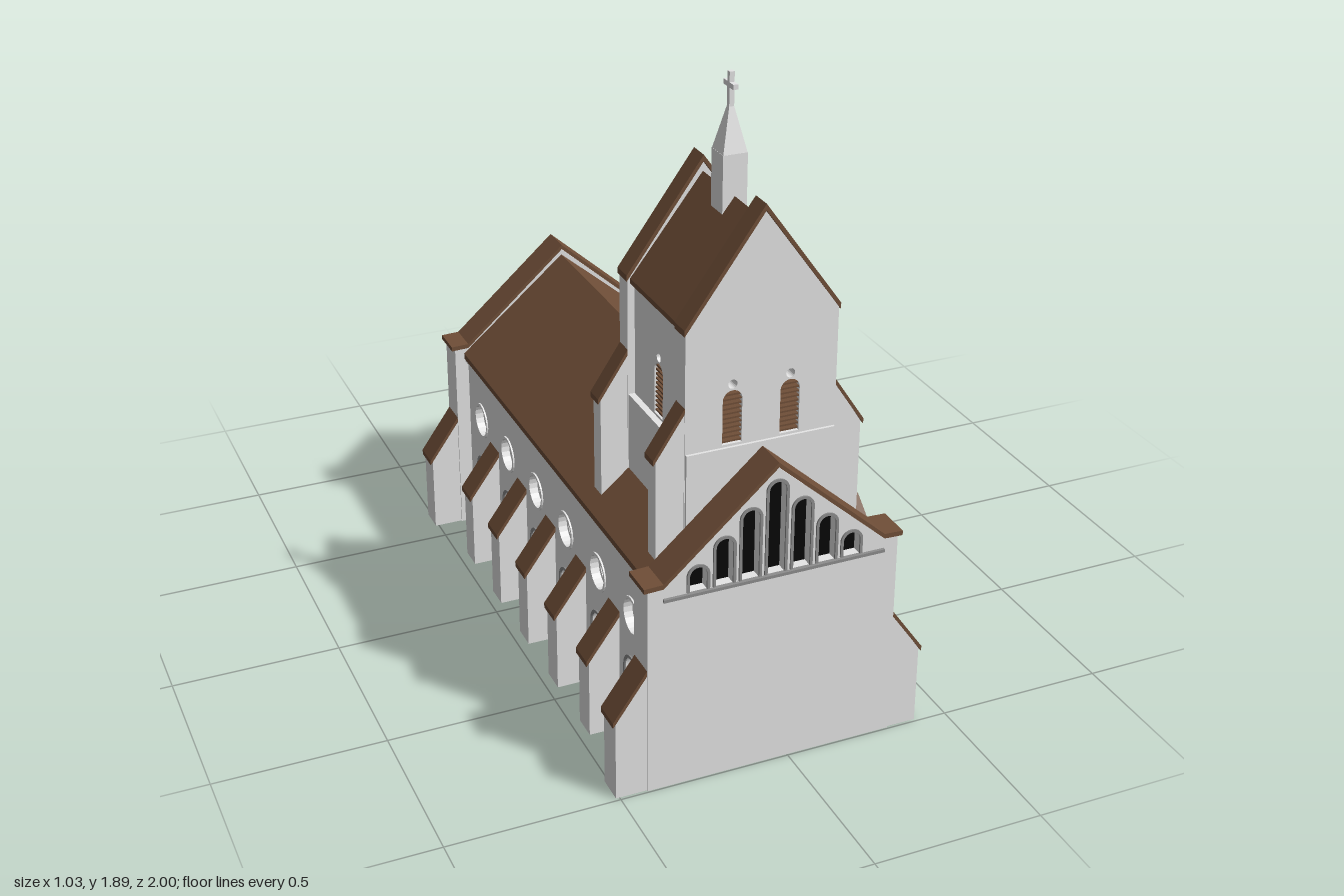
import * as THREE from 'three';
import { ConvexGeometry } from 'three/addons/geometries/ConvexGeometry.js';

const mat = (name, color) => {
  const m = new THREE.MeshStandardMaterial({ color });
  m.name = name;
  return m;
};

export function createModel() {
  const stone = mat('stone', 0xe6e6e6), tile = mat('roof tile', 0x704f38), wood = mat('door wood', 0x7d5436);
  const glass = mat('dark glass', 0x080808), pale = mat('pale tracery', 0xf2f2f2), trim = mat('grey trim', 0x8e8e8e);
  stone.side = THREE.DoubleSide; // piers and porch are hollow and open below

  const model = new THREE.Group();
  model.name = 'church';
  const church = new THREE.Group();
  church.name = 'building';
  church.position.x = -0.0525; // the porch sticks out on one side only
  model.add(church);

  const add = (parent, name, geo, material, x = 0, y = 0, z = 0) => {
    const m = new THREE.Mesh(geo, material);
    m.name = name;
    m.position.set(x, y, z);
    parent.add(m);
    return m;
  };
  const box = (parent, name, material, w, h, d, x, y, z) =>
    add(parent, name, new THREE.BoxGeometry(w, h, d), material, x, y, z);
  const poly = pts => new THREE.Shape(pts.map(p => new THREE.Vector2(...p)));
  const extrude = (shape, depth) =>
    new THREE.ExtrudeGeometry(shape, { depth, bevelEnabled: false, curveSegments: 10 });
  const group = (parent, name, x, y, z, ry = 0) => {
    const g = new THREE.Group();
    g.name = name;
    g.position.set(x, y, z);
    g.rotation.y = ry;
    parent.add(g);
    return g;
  };
  // Drops the faces that look straight down
  const openBottom = geo => {
    const p = geo.attributes.position, n = geo.attributes.normal, keep = [];
    for (let i = 0; i < p.count; i += 3) if (n.getY(i) > -0.99) keep.push(i, i + 1, i + 2);
    geo.clearGroups();
    return geo.setIndex(keep);
  };

  // Opening outlines: round-topped or circular (grow enlarges them for frames)
  const isRound = w => w.kind === 'rose' || w.kind === 'foil';
  const outline = (Type, w, grow = 0) => {
    const p = new Type(), r = w.w / 2 + grow;
    if (isRound(w)) {
      p.absarc(w.x, w.y, r, 0, Math.PI * 2);
    } else {
      p.moveTo(w.x - r, w.y);
      p.lineTo(w.x + r, w.y);
      p.lineTo(w.x + r, w.y + w.h - w.w / 2);
      p.absarc(w.x, w.y + w.h - w.w / 2, r, 0, Math.PI);
      p.lineTo(w.x - r, w.y);
    }
    return p;
  };

  // Glazing, bars, frame and sill of one opening; zPane is the pane's depth behind the face
  function fillOpening(parent, w, zPane) {
    const g = group(parent, w.kind + ' opening', 0, 0, 0);
    const zb = zPane + 0.006, r = w.w / 2, spring = w.y + w.h - r;
    const bar = (x, y, bw, bh, m = pale) => box(g, 'bar', m, bw, bh, 0.006, x, y, zb);
    if (w.kind === 'foil') return;
    if (w.kind === 'louvre') { // open slats, no pane
      for (let y = w.y + 0.006; y < w.y + w.h - 0.004; y += 0.0135) {
        const up = Math.max(0, y - spring);
        box(g, 'slat', tile, 2 * Math.sqrt(r * r - up * up), 0.005, 0.028, w.x, y, -0.018);
      }
      return;
    }
    add(g, 'pane', extrude(outline(THREE.Shape, w), 0.004), w.kind === 'door' ? wood : glass, 0, 0, zPane);
    if (w.kind === 'door') {
      bar(w.x, w.y + w.h / 2, 0.004, w.h, glass);
      for (const s of [-1, 1]) {
        for (const y of [0.04, 0.19]) bar(w.x + s * 0.04, y, 0.05, 0.008);
        bar(w.x + s * 0.012, 0.11, 0.008, 0.03);
      }
      return;
    }
    const ring = outline(THREE.Shape, w, 0.008);
    ring.holes.push(outline(THREE.Path, w));
    add(g, 'frame', extrude(ring, 0.005), w.kind === 'rose' ? stone : trim);
    if (w.kind === 'rose') {
      bar(w.x, w.y, w.w, 0.007);
      bar(w.x, w.y, 0.007, w.w);
      const rim = outline(THREE.Shape, w);
      rim.holes.push(outline(THREE.Path, w, -0.013));
      add(g, 'tracery rim', extrude(rim, 0.005), pale, 0, 0, zb);
    }
    if (w.kind === 'lattice') {
      for (const t of [-0.5, 0, 0.5]) {
        const top = spring + r * Math.sqrt(1 - t * t);
        bar(w.x + t * r, (w.y + top) / 2, 0.0035, top - w.y);
      }
      for (let y = w.y + 0.035; y < w.y + w.h - 0.012; y += 0.028) {
        const up = Math.max(0, y - spring);
        bar(w.x, y, 2 * Math.sqrt(r * r - up * up), 0.0035);
      }
      box(g, 'sill', tile, w.w, 0.022, 0.006 - zPane, w.x, w.y + 0.008, zPane / 2 + 0.003);
    }
  }

  // Wall with real openings; outer face lies on local z = 0
  function facade(parent, name, pts, t, windows, x, z, ry) {
    const g = group(parent, name, x, 0, z, ry), shape = poly(pts);
    windows.forEach(w => shape.holes.push(outline(THREE.Path, w)));
    add(g, 'wall', extrude(shape, t), stone, 0, 0, -t);
    windows.forEach(w => fillOpening(g, w, -Math.min(t, 0.032)));
    return g;
  }
  // Thin tile band following a line of points
  const coping = (parent, pts, t, depth, z) => add(parent, 'coping',
    extrude(poly([...pts.map(([x, y]) => [x, y - t]), ...[...pts].reverse()]), depth), tile, 0, 0, z);
  const mirrored = pts => [...pts.map(([x, y]) => [-x, y]), ...pts.slice(0, -1).reverse()];
  const rect = (hw, y0, y1) => [[-hw, y0], [hw, y0], [hw, y1], [-hw, y1]];

  function buttress(parent, side, x, z, width, y0, y1, y2, d) {
    const g = group(parent, 'buttress', side * x, 0, z, side < 0 ? Math.PI : 0);
    const pier = poly([[-0.02, y0], [d - 0.008, y0], [d - 0.008, y1], [0, y2 - 0.012], [-0.02, y2 - 0.012]]);
    add(g, 'pier', openBottom(extrude(pier, width - 0.004)), stone, 0, 0, -width / 2 + 0.002);
    coping(g, [[0, y2], [d, y1 + 0.006]], 0.016, width, -width / 2);
  }

  // Nave, hollow inside
  const nave = group(church, 'nave', 0, 0, 0);
  coping(nave, mirrored([[0.338, 0.612], [0, 0.9]]), 0.018, 1.5, -0.58).name = 'roof';
  const bays = [0.79, 0.545, 0.295, 0.05, -0.2, -0.445];
  for (const s of [-1, 1]) {
    const windows = [];
    bays.forEach((z, i) => {
      const x = -s * (z - 0.17);
      windows.push({ kind: 'rose', x, y: 0.425, w: 0.1 });
      if (s < 0 || (i !== 1 && i !== 2)) windows.push({ kind: 'lattice', x, y: 0.085, w: 0.092, h: 0.2 });
    });
    facade(nave, 'side wall', rect(0.745, 0, 0.61), 0.035, windows, s * 0.325, 0.17, s * Math.PI / 2);
    box(nave, 'cornice', stone, 0.02, 0.015, 1.48, s * 0.325, 0.592, 0.17);
    for (const z of [0.66, 0.41, 0.165, -0.08, -0.33])
      if (s < 0 || z !== 0.41) buttress(nave, s, 0.325, z, 0.08, 0, 0.24, 0.385, 0.1);
  }

  // End gables with stepped rows of lancets
  const lancets = [];
  for (let i = -3; i <= 3; i++)
    lancets.push({ kind: 'lancet', x: i * 0.075, y: 0.602, w: 0.05, h: 0.275 - Math.abs(i) * 0.068 });
  for (const [name, z, ry] of [['front gable', 0.995, 0], ['back gable', -0.655, Math.PI]]) {
    const g = facade(church, name,
      [[-0.368, 0], [0.368, 0], [0.368, 0.632], [0.325, 0.632], [0, 0.918], [-0.325, 0.632], [-0.368, 0.632]],
      0.09, lancets, 0, z, ry);
    coping(g, mirrored([[0.38, 0.643], [0.325, 0.645], [0, 0.934]]), 0.014, 0.1, -0.095);
    box(g, 'ledge', trim, 0.65, 0.009, 0.014, 0, 0.595, 0.002);
    for (const s of [-1, 1]) buttress(g, s, 0.368, -0.045, 0.085, 0, 0.24, 0.385, 0.098);
  }

  // Tower: broad lower stage, slimmer louvred belfry between two gable walls
  const tower = group(church, 'tower', 0, 0, 0.67);
  const louvre = x => [{ kind: 'louvre', x, y: 0.952, w: 0.056, h: 0.155 }, { kind: 'foil', x, y: 1.125, w: 0.026 }];
  box(tower, 'lower stage', stone, 0.432, 0.315, 0.45, 0, 0.7875, 0);
  add(tower, 'roof', extrude(poly([[-0.21, 1.275], [0.21, 1.275], [0.21, 1.29], [0, 1.565], [-0.21, 1.29]]), 0.35),
    tile, 0, 0, -0.175);
  for (const s of [-1, 1]) {
    facade(tower, 'side wall', rect(0.17, 0.9, 1.28), 0.035, louvre(0), s * 0.197, 0, s * Math.PI / 2);
    const g = facade(tower, 'gable wall',
      [[-0.218, 0.62], [0.218, 0.62], [0.218, 1.29], [0, 1.592], [-0.218, 1.29]], 0.055,
      [...louvre(-0.083), ...louvre(0.083)], 0, s * 0.217, s > 0 ? 0 : Math.PI);
    coping(g, mirrored([[0.222, 1.302], [0, 1.612]]), 0.018, 0.063, -0.06);
    for (const k of [-1, 1]) buttress(g, k, 0.218, -0.028, 0.055, 0.62, 0.94, 1.08, 0.088);
  }

  // Ridge turret with cross
  const turret = group(tower, 'turret', 0, 0, 0);
  box(turret, 'base', stone, 0.07, 0.17, 0.07, 0, 1.595, 0);
  add(turret, 'spire', new THREE.CylinderGeometry(0.008, 0.0485, 0.125, 4, 1).rotateY(Math.PI / 4).toNonIndexed(),
    stone, 0, 1.7425, 0).geometry.computeVertexNormals();
  box(turret, 'cross post', stone, 0.014, 0.1, 0.014, 0, 1.842, 0);
  box(turret, 'cross arm', stone, 0.014, 0.014, 0.058, 0, 1.857, 0);

  // Side porch, built facing +z then turned to the model's left
  const porch = group(church, 'porch', 0, 0, 0.415, Math.PI / 2);
  add(porch, 'body', openBottom(extrude(poly(rect(0.152, 0, 0.262)), 0.23)), stone, 0, 0, 0.3);
  add(porch, 'roof', extrude(poly([[-0.167, 0.25], [0.167, 0.25], [0.167, 0.262], [0, 0.395], [-0.167, 0.262]]), 0.23),
    tile, 0, 0, 0.3);
  const gable = facade(porch, 'porch gable', [[-0.172, 0], [0.172, 0], [0.172, 0.258], [0, 0.398], [-0.172, 0.258]],
    0.04, [{ kind: 'door', x: 0, y: 0, w: 0.135, h: 0.262 }], 0, 0.564, 0);
  coping(gable, mirrored([[0.188, 0.27], [0.168, 0.272], [0, 0.412]]), 0.014, 0.05, -0.045);

  // Polygonal apse
  const apse = group(church, 'apse', 0, 0, 0);
  const plan = [[0.238, -0.64], [0.238, -0.85], [0.1, -0.988], [-0.1, -0.988], [-0.238, -0.85], [-0.238, -0.64]];
  for (let i = 0; i < 5; i++) {
    const [a, b] = [plan[i], plan[i + 1]], dx = b[0] - a[0], dz = b[1] - a[1];
    facade(apse, 'apse wall', rect(Math.hypot(dx, dz) / 2, 0, 0.355), 0.028,
      [{ kind: 'lattice', x: 0, y: 0.085, w: 0.076, h: 0.24 }],
      (a[0] + b[0]) / 2, (a[1] + b[1]) / 2, Math.atan2(-dz, dx));
  }
  const eaves = [];
  for (const [x, z] of [[0.245, -0.65], [0.245, -0.855], [0.104, -1], [-0.104, -1], [-0.245, -0.855], [-0.245, -0.65]])
    for (const y of [0.347, 0.36]) eaves.push(new THREE.Vector3(x, y, z));
  add(apse, 'apse roof', new ConvexGeometry(
    [...eaves, new THREE.Vector3(0, 0.575, -0.65), new THREE.Vector3(0, 0.575, -0.855)]), tile);

  return model;
}
